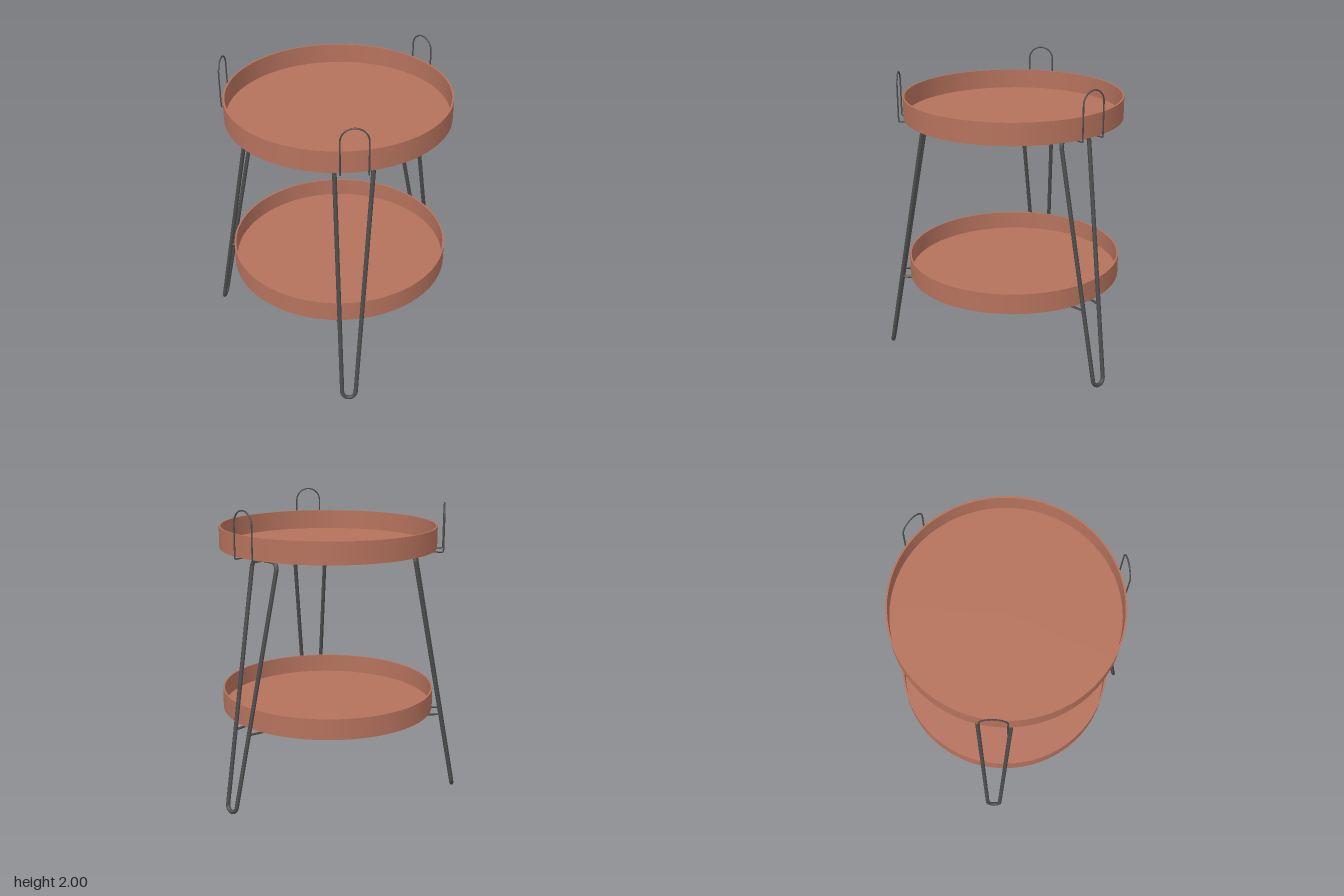
import * as THREE from 'three';

const trayMat = new THREE.MeshStandardMaterial({ color: 0xb5725c, side: THREE.DoubleSide });
const wireMat = new THREE.MeshStandardMaterial({ color: 0x4c4c4c });

const V = (x, y, z) => new THREE.Vector3(x, y, z);

// Closed wire path through corners, each rounded by its own radius
function roundedLoop(corners, radii) {
  const path = new THREE.CurvePath();
  const n = corners.length;
  const toward = (p, q, d) => p.clone().add(q.clone().sub(p).setLength(d));
  const bends = corners.map((p, i) => ({
    p,
    a: toward(p, corners[(i + n - 1) % n], radii[i]),
    b: toward(p, corners[(i + 1) % n], radii[i]),
  }));
  bends.forEach(({ p, a, b }, i) => {
    path.add(new THREE.CubicBezierCurve3(a, a.clone().lerp(p, 0.55), b.clone().lerp(p, 0.55), b));
    const next = bends[(i + 1) % n].a;
    if (b.distanceTo(next) > 1e-4) path.add(new THREE.LineCurve3(b, next));
  });
  return path;
}

function wire(name, curve, radius, segments, closed) {
  const mesh = new THREE.Mesh(new THREE.TubeGeometry(curve, segments, radius, 8, closed), wireMat);
  mesh.name = name;
  return mesh;
}

// Shallow round tray with a thin upright rim; doubled points keep edges crisp
function tray(name, y, height) {
  const R = 0.735, t = 0.012;
  const profile = [
    [0, 0], [R, 0], [R, 0], [R, height], [R, height], [R - t, height],
    [R - t, height], [R - t, t], [R - t, t], [0, t],
  ].map(([r, h]) => new THREE.Vector2(r, h));
  const mesh = new THREE.Mesh(new THREE.LatheGeometry(profile, 64), trayMat);
  mesh.name = name;
  mesh.position.set(0, y, 0.085);
  return mesh;
}

// One hairpin leg with its handle wire and two lower support rods
function legSet({ name, angle, top, bottom, handle }) {
  const group = new THREE.Group();
  group.name = name;
  const a = THREE.MathUtils.degToRad(angle);
  const out = V(Math.cos(a), 0, Math.sin(a));
  const side = V(-out.z, 0, out.x);
  const at = (base, u, w, y) =>
    V(base[0], y, base[1]).addScaledVector(side, u).addScaledVector(out, w);

  // Hairpin leg: wide at the top, narrow at the foot
  const yTop = 1.666, yFoot = 0.014;
  const leg = roundedLoop([
    at(bottom, -0.043, 0, yFoot), at(bottom, 0.043, 0, yFoot),
    at(top, 0.12, 0, yTop), at(top, -0.12, 0, yTop),
  ], [0.042, 0.042, 0.055, 0.055]);
  group.add(wire('hairpinLeg', leg, 0.014, 220, true));

  // Handle: upright arch that folds into a flat loop under the top tray
  const h = 0.085, low = 1.682, high = 1.995;
  const loop = roundedLoop([
    at(handle, -h, 0, low), at(handle, -h, 0, high), at(handle, h, 0, high),
    at(handle, h, 0, low), at(handle, h, -0.385, low), at(handle, -h, -0.385, low),
  ], [0.008, h, h, 0.008, h, h]);
  group.add(wire('handleLoop', loop, 0.005, 260, true));

  // Rods reaching from the leg under the lower tray
  const y = 0.55, k = (y - yFoot) / (yTop - yFoot);
  const mid = bottom.map((b, i) => b + (top[i] - b) * k);
  for (const s of [-1, 1]) {
    const rod = new THREE.LineCurve3(at(mid, s * 0.07, 0, y), at(mid, s * 0.135, -0.51, 0.537));
    group.add(wire('supportRod', rod, 0.008, 1, false));
  }
  return group;
}

export function createModel() {
  const model = new THREE.Group();
  model.name = 'trayTable';
  model.add(tray('topTray', 1.69, 0.145), tray('lowerTray', 0.565, 0.14));

  // Positions are [x, z]
  const legs = [
    { name: 'backLeg', angle: 270, top: [-0.022, -0.5], bottom: [0, -0.808], handle: [-0.015, -0.672] },
    { name: 'leftLeg', angle: 39.5, top: [0.507, 0.395], bottom: [0.71, 0.612], handle: [0.632, 0.5] },
    { name: 'rightLeg', angle: 140, top: [-0.483, 0.42], bottom: [-0.717, 0.618], handle: [-0.628, 0.54] },
  ];
  legs.forEach((l) => model.add(legSet(l)));
  return model;
}
